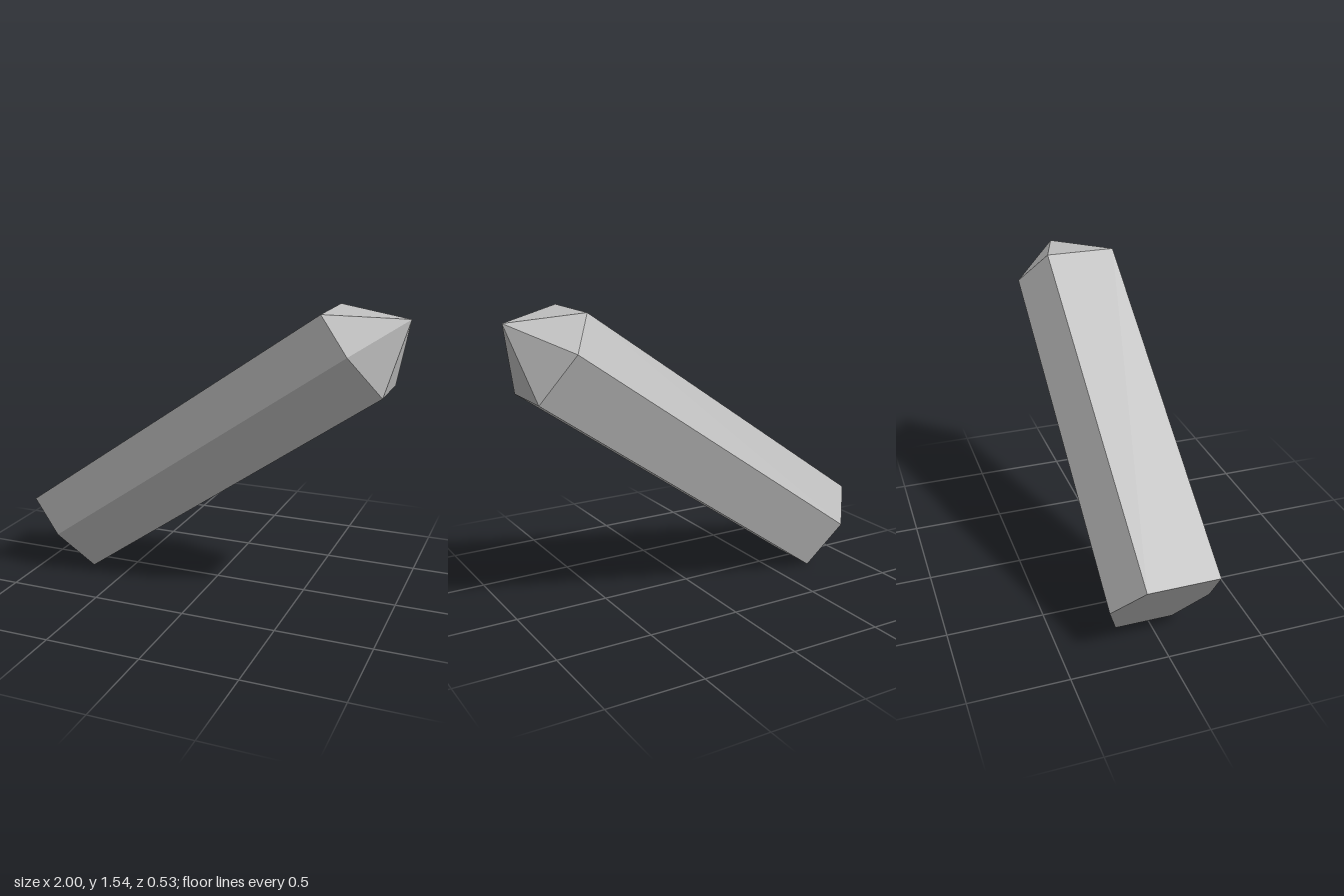
import * as THREE from 'three';

export function createModel() {
  const group = new THREE.Group();
  const stone = new THREE.MeshStandardMaterial({ color: 0xc0c0c0 });
  stone.name = 'grey stone';

  // Irregular six-sided base ring, and the same ring slid along the slanted axis
  const base = [
    [-1, 0.41, 0.255], [-0.864, 0.215, 0.263], [-0.714, 0, 0.13],
    [-0.714, 0, -0.177], [-0.881, 0.24, -0.265], [-1, 0.41, -0.122],
  ].map((p) => new THREE.Vector3(...p));
  const axis = new THREE.Vector3(1.619, 1.134, 0);
  const shoulder = base.map((p) => p.clone().add(axis));
  const apex = new THREE.Vector3(1, 1.505, 0);

  // Separate triangles keep every facet flat
  function addPart(name, triangles) {
    const geometry = new THREE.BufferGeometry().setFromPoints(triangles.flat());
    geometry.computeVertexNormals();
    const mesh = new THREE.Mesh(geometry, stone);
    mesh.name = name;
    group.add(mesh);
  }

  const shaft = [], tip = [], cap = [];
  for (let i = 0; i < 6; i++) {
    const j = (i + 1) % 6;
    shaft.push([base[i], base[j], shoulder[j]], [base[i], shoulder[j], shoulder[i]]);
    tip.push([shoulder[i], shoulder[j], apex]);
    if (i > 0 && i < 5) cap.push([base[0], base[j], base[i]]);
  }
  addPart('crystalShaft', shaft);
  addPart('crystalTip', tip);
  addPart('crystalBase', cap);
  return group;
}
